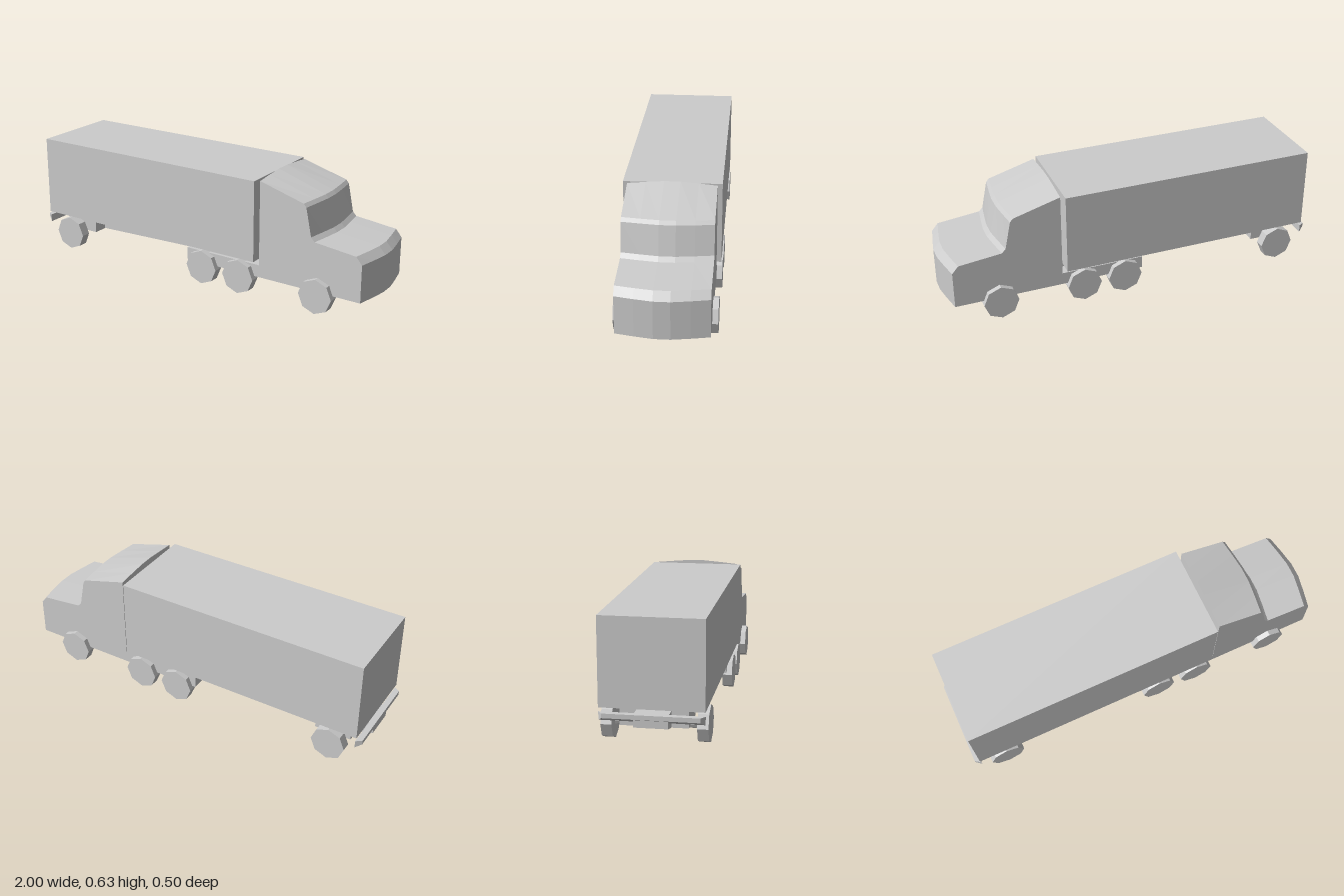
import * as THREE from 'three';

const material = new THREE.MeshStandardMaterial({ color: 0xcccccc, flatShading: true });

function add(group, name, geometry, x = 0, y = 0, z = 0) {
  const mesh = new THREE.Mesh(geometry, material);
  mesh.name = name;
  mesh.position.set(x, y, z);
  group.add(mesh);
  return mesh;
}

// Box given by its x and y ranges, centred on z = 0
function addBox(group, name, x0, x1, y0, y1, halfWidth) {
  return add(group, name, new THREE.BoxGeometry(x1 - x0, y1 - y0, 2 * halfWidth), (x0 + x1) / 2, (y0 + y1) / 2);
}

// Side profile extruded across the vehicle
function addProfile(group, name, points, halfWidth) {
  const shape = new THREE.Shape(points.map(([x, y]) => new THREE.Vector2(x, y)));
  const geometry = new THREE.ExtrudeGeometry(shape, { depth: 2 * halfWidth, bevelEnabled: false });
  return add(group, name, geometry, 0, 0, -halfWidth);
}

// Cab and tractor frame: side profiles lofted across z, bulging at the middle
function cabGeometry() {
  // x at side, y at side, extra x at middle, extra y at middle (clockwise)
  const profile = [
    [-0.04, 0.105, 0, 0], [-0.04, 0.17, 0, 0], [0.4, 0.17, 0, 0],
    [0.4, 0.615, 0, 0.016], [0.645, 0.546, 0.022, 0], [0.66, 0.528, 0.022, 0],
    [0.69, 0.383, 0.027, 0], [0.71, 0.362, 0.027, 0], [0.933, 0.338, 0.032, 0],
    [0.965, 0.3, 0.035, 0], [0.965, 0.105, 0.035, 0],
  ];
  const sections = [[-0.222, 0], [-0.13, 0.55], [-0.04, 1], [0.04, 1], [0.13, 0.55], [0.222, 0]];
  const n = profile.length;
  const positions = [];
  const indices = [];
  for (const [z, t] of sections) {
    for (const [x, y, dx, dy] of profile) positions.push(x + dx * t, y + dy * t, z);
  }
  for (let s = 0; s < sections.length - 1; s++) {
    for (let i = 0; i < n; i++) {
      const a = s * n + i, b = s * n + (i + 1) % n;
      indices.push(a, a + n, b, b, a + n, b + n);
    }
  }
  // Flat side walls
  const outline = profile.map(([x, y]) => new THREE.Vector2(x, y)).reverse();
  const last = (sections.length - 1) * n;
  for (const face of THREE.ShapeUtils.triangulateShape(outline, [])) {
    const [a, b, c] = face.map((i) => n - 1 - i);
    indices.push(last + a, last + b, last + c, a, c, b);
  }
  const geometry = new THREE.BufferGeometry();
  geometry.setAttribute('position', new THREE.Float32BufferAttribute(positions, 3));
  geometry.setIndex(indices);
  const flat = geometry.toNonIndexed();
  flat.computeVertexNormals();
  return flat;
}

export function createModel() {
  const truck = new THREE.Group();
  truck.name = 'truck';

  // Tractor
  add(truck, 'cab', cabGeometry());
  addBox(truck, 'coupling', 0.06, 0.38, 0.165, 0.195, 0.16);

  // Trailer
  addBox(truck, 'cargoBox', -0.975, 0.38, 0.19, 0.616, 0.245);
  addProfile(truck, 'trailerRail',
    [[-0.995, 0.17], [-0.995, 0.11], [-0.91, 0.09], [-0.72, 0.09], [0, 0.112], [0, 0.17]], 0.08);
  addBox(truck, 'rearAxleMount', -0.912, -0.716, 0.09, 0.195, 0.16);

  // Rear bumper: wedge bar with tapered ends
  const bumper = addProfile(truck, 'rearBumper',
    [[-1, 0.17], [-1, 0.148], [-0.97, 0.13], [-0.97, 0.17]], 0.245);
  const p = bumper.geometry.attributes.position;
  for (let i = 0; i < p.count; i++) {
    if (p.getX(i) < -0.99) p.setZ(i, p.getZ(i) < 0.245 ? 0.02 : 0.47);
  }
  bumper.geometry.computeVertexNormals();

  // Axles with octagonal wheels
  const wheel = new THREE.CylinderGeometry(0.091, 0.091, 0.052, 8).rotateX(Math.PI / 2);
  const axle = new THREE.CylinderGeometry(0.021, 0.021, 0.4, 8).rotateX(Math.PI / 2);
  for (const x of [-0.827, 0.065, 0.288, 0.733]) {
    const set = new THREE.Group();
    set.name = 'wheelSet';
    set.position.set(x, 0.091, 0);
    add(set, 'axle', axle, 0, -0.005, 0);
    for (const side of [-1, 1]) add(set, 'wheel', wheel, 0, 0, side * 0.224);
    truck.add(set);
  }
  return truck;
}
